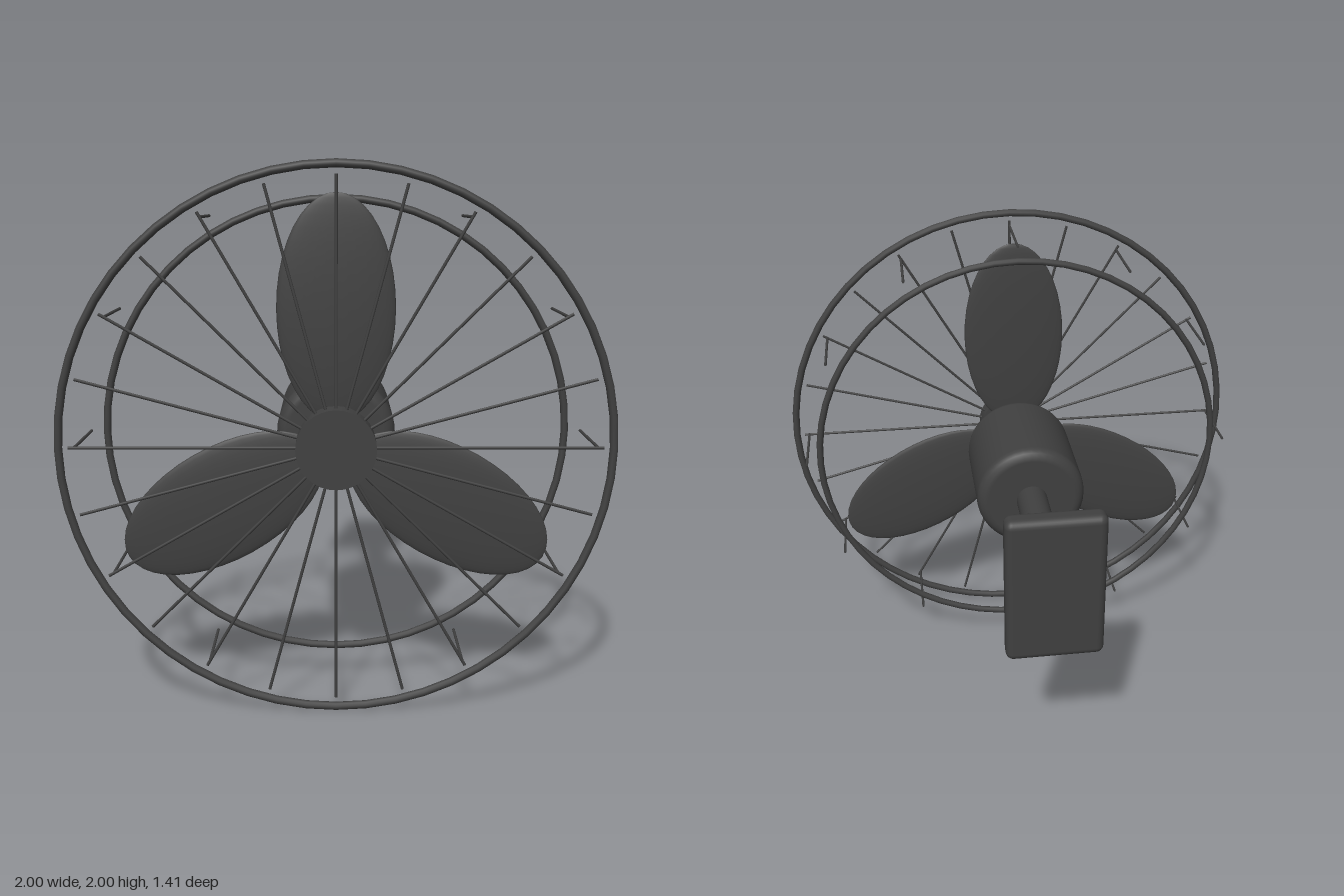
import * as THREE from 'three';
import { RoundedBoxGeometry } from 'three/addons/geometries/RoundedBoxGeometry.js';

const darkGrey = new THREE.MeshStandardMaterial({ color: 0x404040 });
darkGrey.name = 'dark grey';

const AXIS_Y = 1;      // height of the fan axis
const FRONT_Z = 0.663; // plane of the front ring and spokes
const BACK_Z = 0.371;  // plane of the back ring

function add(parent, name, geometry, x = 0, y = 0, z = 0) {
  const mesh = new THREE.Mesh(geometry, darkGrey);
  mesh.name = name;
  mesh.position.set(x, y, z);
  parent.add(mesh);
  return mesh;
}

// Cylinder lying along z between two depths
function rodZ(radius, z0, z1, sides) {
  return new THREE.CylinderGeometry(radius, radius, z1 - z0, sides)
    .rotateX(Math.PI / 2)
    .translate(0, 0, (z0 + z1) / 2);
}

export function createModel() {
  const model = new THREE.Group();
  model.name = 'wallFan';
  const fan = new THREE.Group();
  fan.name = 'fan';
  fan.position.y = AXIS_Y;
  model.add(fan);

  // Wall plate and arm
  add(fan, 'wallPlate', new RoundedBoxGeometry(0.37, 0.605, 0.085, 3, 0.03), 0, 0, -0.662);
  add(fan, 'arm', rodZ(0.063, -0.64, -0.03, 32));

  // Motor housing with rounded shoulders
  const R = 0.223, b = 0.045, back = -0.05, front = 0.44;
  const profile = [new THREE.Vector2(0, back), new THREE.Vector2(R - b, back)];
  for (let i = 0; i <= 4; i++) {
    const a = (i / 4) * Math.PI / 2;
    profile.push(new THREE.Vector2(R - b + b * Math.sin(a), back + b - b * Math.cos(a)));
  }
  for (let i = 0; i <= 4; i++) {
    const a = (i / 4) * Math.PI / 2;
    profile.push(new THREE.Vector2(R - b + b * Math.cos(a), front - b + b * Math.sin(a)));
  }
  profile.push(new THREE.Vector2(R - b, front), new THREE.Vector2(0, front));
  const points = profile.filter((p, i) => i === 0 || p.distanceTo(profile[i - 1]) > 1e-5);
  add(fan, 'motorHousing', new THREE.LatheGeometry(points, 40).rotateX(Math.PI / 2));

  // Blade hub and three flattened oval blades
  add(fan, 'bladeHub', rodZ(0.115, 0.473, 0.617, 32));
  for (let i = 0; i < 3; i++) {
    const geometry = new THREE.SphereGeometry(1, 32, 20)
      .scale(0.214, 0.41, 0.022)
      .translate(0, 0.48, 0);
    add(fan, 'blade', geometry, 0, 0, 0.543).rotation.z = (i * Math.PI * 2) / 3;
  }

  // Guard rings and front cap
  add(fan, 'frontRing', new THREE.TorusGeometry(0.985, 0.015, 10, 56), 0, 0, FRONT_Z);
  add(fan, 'backRing', new THREE.TorusGeometry(0.87, 0.014, 10, 56), 0, 0, BACK_Z);
  add(fan, 'frontCap', rodZ(0.144, 0.623, 0.705, 32));

  // Radial spokes across the front
  for (let i = 0; i < 24; i++) {
    const geometry = new THREE.CylinderGeometry(0.0055, 0.0055, 0.95, 8).translate(0, 0.475, 0);
    add(fan, 'spoke', geometry, 0, 0, FRONT_Z).rotation.z = (i * Math.PI) / 12;
  }

  // Short struts running back from the front ring
  for (let i = 0; i < 12; i++) {
    const a = (i * Math.PI) / 6;
    add(fan, 'strut', rodZ(0.0055, BACK_Z, FRONT_Z, 8), 0.93 * Math.cos(a), 0.93 * Math.sin(a));
  }

  return model;
}
